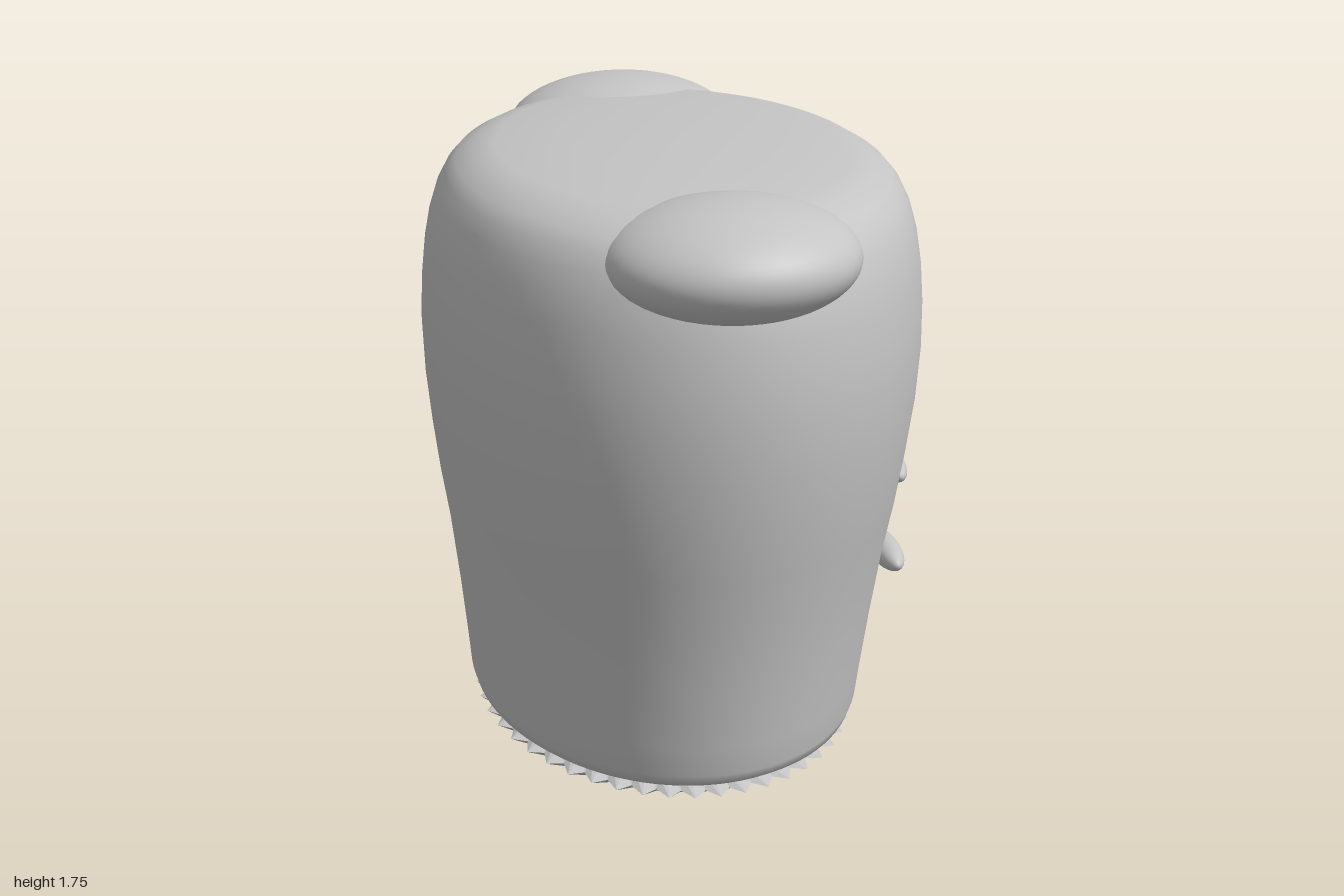
import * as THREE from 'three';
import { mergeVertices } from 'three/addons/utils/BufferGeometryUtils.js';

const SEGMENTS = 96;

// Lathe a [radius, height] profile into an oval that leans very slightly in x
function ovalLathe(profile, adjust) {
  const geo = new THREE.LatheGeometry(profile.map(([r, y]) => new THREE.Vector2(r, y)), SEGMENTS);
  const pos = geo.attributes.position;
  for (let i = 0; i < pos.count; i++) {
    const y = pos.getY(i);
    const k = adjust ? adjust(i % profile.length, Math.floor(i / profile.length)) : 1;
    pos.setX(i, pos.getX(i) * k - 0.035 + 0.02 * y);
    pos.setZ(i, pos.getZ(i) * k * (1.39 - 0.04 * y));
  }
  geo.deleteAttribute('uv');
  geo.deleteAttribute('normal');
  const merged = mergeVertices(geo, 1e-4);
  merged.computeVertexNormals();
  return merged;
}

export function createModel() {
  const model = new THREE.Group();
  const grey = new THREE.MeshStandardMaterial({ color: 0xc4c4c4 });
  grey.name = 'plain grey';
  const facetedGrey = grey.clone();
  facetedGrey.flatShading = true;

  const add = (name, geometry, material = grey) => {
    const mesh = new THREE.Mesh(geometry, material);
    mesh.name = name;
    model.add(mesh);
    return mesh;
  };

  // Tapered oval body with rounded shoulders and a shallow domed top
  add('body', ovalLathe([
    [0.46, 0.07], [0.53, 0.08], [0.553, 0.1], [0.563, 0.13], [0.573, 0.22], [0.595, 0.4],
    [0.623, 0.6], [0.65, 0.75], [0.672, 0.9], [0.69, 1.05], [0.699, 1.2], [0.697, 1.32],
    [0.688, 1.43], [0.675, 1.51], [0.655, 1.58], [0.63, 1.63], [0.6, 1.665],
    [0.55, 1.695], [0.49, 1.715], [0.3, 1.73], [0, 1.745],
  ]));

  // Flat base with a toothed rim
  add('base', ovalLathe(
    [[0, 0.003], [0.485, 0.027], [0.55, 0.055], [0.47, 0.078]],
    (row, column) => (row === 2 && column % 2 ? 0.94 : 1),
  ), facetedGrey);

  // Rounded lugs at the front and back of the top edge
  for (const side of [1, -1]) {
    const lug = add(side > 0 ? 'frontLug' : 'backLug', new THREE.SphereGeometry(1, 48, 32));
    lug.scale.set(0.345, 0.158, 0.31);
    lug.position.set(0, 1.59, side * 0.69);
  }

  // Column of long oval buttons on the left side
  for (let i = 0; i < 4; i++) {
    const button = add('button' + (i + 1), new THREE.SphereGeometry(1, 32, 20));
    button.scale.set(0.045, 0.043, 0.145);
    button.position.set(0.66, 0.413 + i * 0.286, 0);
  }

  return model;
}
